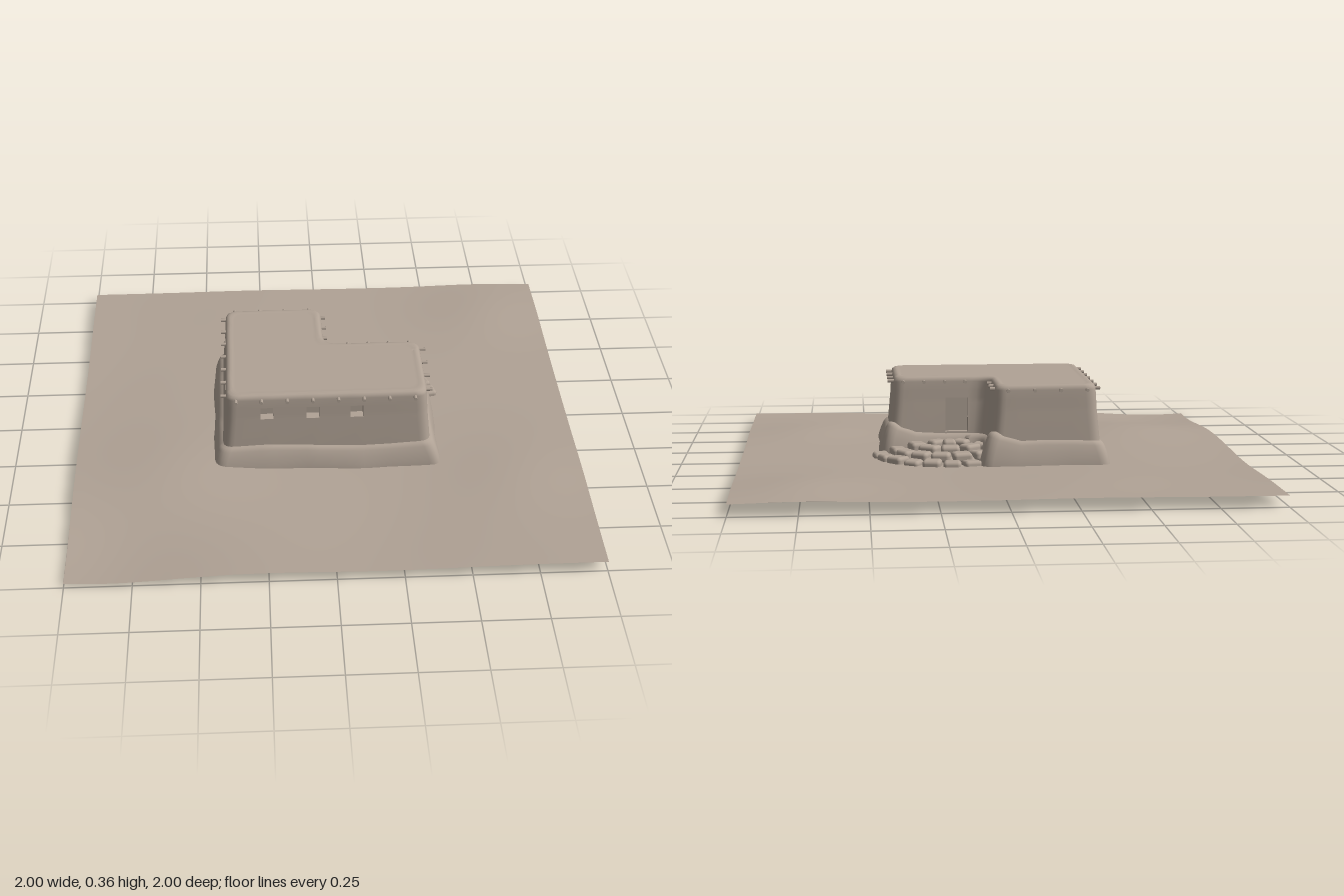
import * as THREE from 'three';
import { RoundedBoxGeometry } from 'three/addons/geometries/RoundedBoxGeometry.js';

// Openings in the walls: centre, size and the way they face
const openings = [
  ...[-0.24, -0.06, 0.1125].map(x => ({ name: 'frontWindow', x, y: 0.275, z: 0.322, w: 0.05, h: 0.05, turn: 0 })),
  ...[-0.2, 0.14].map(z => ({ name: 'sideWindow', x: -0.402, y: 0.275, z, w: 0.05, h: 0.05, turn: -Math.PI / 2 })),
  { name: 'doorway', x: 0.135, y: 0.2, z: -0.066, w: 0.09, h: 0.14, turn: Math.PI },
];

// L-shaped plan, counter-clockwise from above; each corner: x, z, outward signs, rounding
const corners = [
  [-0.415, 0.335, -1, 1, 0.045], [0.405, 0.335, 1, 1, 0.045], [0.405, -0.075, 1, -1, 0.045],
  [0.015, -0.075, 1, -1, 0.075], [0.015, -0.345, 1, -1, 0.045], [-0.415, -0.345, -1, -1, 0.045],
];
// Points along the straight wall that follows each corner
const stops = [
  [-0.265, -0.215, -0.085, -0.035, 0.0875, 0.1375, 0.24], [0.2, 0.1, 0],
  [0.3, 0.18, 0.09], [-0.2, -0.25], [-0.1, -0.2, -0.3], [-0.225, -0.175, 0, 0.115, 0.165],
];

function outline(offset) {
  const c = corners.map(([x, z, sx, sz]) => new THREE.Vector2(x + sx * offset, z + sz * offset));
  const points = [];
  c.forEach((p, i) => {
    const prev = c[(i + 5) % 6], next = c[(i + 1) % 6], r = corners[i][4];
    const a = p.clone().add(prev.clone().sub(p).setLength(r));
    const b = p.clone().add(next.clone().sub(p).setLength(r));
    points.push(...new THREE.QuadraticBezierCurve(a, p, b).getPoints(6));
    const alongX = Math.abs(next.x - p.x) > Math.abs(next.y - p.y);
    for (const s of stops[i]) points.push(alongX ? new THREE.Vector2(s, p.y) : new THREE.Vector2(p.x, s));
  });
  return points;
}

// Skin a stack of [height, offset] outlines, leaving the openings free
function loft(levels, { bend = (x, y, z) => [x, y, z], cap = false, holes = [] }) {
  const rings = levels.map(([y, o]) => outline(o).map(p => [p.x, y, p.y]));
  const n = rings[0].length, index = [];
  for (let j = 0; j < rings.length - 1; j++) {
    for (let i = 0; i < n; i++) {
      const k = (i + 1) % n;
      const mid = [0, 1, 2].map(a => (rings[j][i][a] + rings[j][k][a] + rings[j + 1][i][a] + rings[j + 1][k][a]) / 4);
      const open = holes.some(h => Math.abs(mid[1] - h.y) < h.h / 2
        && Math.hypot(mid[0] - h.x, mid[2] - h.z) < h.w / 2);
      if (open) continue;
      const a = j * n + i, b = j * n + k;
      index.push(a, b, b + n, a, b + n, a + n);
    }
  }
  if (cap) {
    const top = rings.length - 1;
    const flat = rings[top].map(p => new THREE.Vector2(p[0], -p[2]));
    for (const f of THREE.ShapeUtils.triangulateShape(flat, [])) index.push(...f.map(i => top * n + i));
  }
  const geo = new THREE.BufferGeometry();
  geo.setAttribute('position', new THREE.Float32BufferAttribute(rings.flat().flatMap(p => bend(...p)), 3));
  geo.setIndex(index);
  geo.computeVertexNormals();
  return geo;
}

// Box seen from inside, open at its front
function recess(w, h, d) {
  const geo = new THREE.BoxGeometry(w, h, d).translate(0, 0, -d / 2);
  const index = Array.from(geo.index.array);
  index.splice(24, 6);
  geo.setIndex(index.reverse());
  geo.computeVertexNormals();
  return geo;
}

const hump = (x, z, cx, cz, r) => Math.exp(-((x - cx) ** 2 + (z - cz) ** 2) / (r * r));

function groundHeight(x, z) {
  return 0.043 + 0.026 * hump(x, z, -0.6, 0.35, 0.3) - 0.032 * hump(x, z, -0.85, 0.9, 0.35)
    + 0.022 * hump(x, z, 0.75, -0.75, 0.25) + 0.018 * hump(x, z, 0.75, 0.45, 0.25)
    - 0.016 * hump(x, z, 0.2, 0.75, 0.35) - 0.012 * hump(x, z, -0.95, -0.3, 0.3)
    + 0.01 * hump(x, z, -0.3, -0.7, 0.3);
}

export function createModel() {
  const model = new THREE.Group();
  const clay = new THREE.MeshStandardMaterial({ color: 0xb0a295 });
  const earth = new THREE.MeshStandardMaterial({ color: 0xb0a295, side: THREE.DoubleSide });
  clay.name = 'clay';
  earth.name = 'earth';
  const add = (name, geo, mat = clay, parent = model) => {
    const mesh = new THREE.Mesh(geo, mat);
    mesh.name = name;
    parent.add(mesh);
    return mesh;
  };
  const group = name => {
    const g = new THREE.Group();
    g.name = name;
    model.add(g);
    return g;
  };

  // Gently rolling ground
  const ground = new THREE.PlaneGeometry(2, 2, 48, 48).rotateX(-Math.PI / 2);
  const pos = ground.attributes.position;
  for (let i = 0; i < pos.count; i++) pos.setY(i, groundHeight(pos.getX(i), pos.getZ(i)));
  ground.computeVertexNormals();
  add('ground', ground, earth);

  // House walls with a soft-edged flat roof
  add('house', loft([
    [0.05, 0.004], [0.13, 0], [0.25, -0.011], [0.27, -0.012], [0.3, -0.014], [0.335, -0.016],
    [0.346, -0.019], [0.353, -0.026], [0.356, -0.036], [0.354, -0.045], [0.354, -0.055],
  ], { cap: true, holes: openings }));

  // Uneven plaster skirt around the foot of the walls
  const bend = (x, y, z) => {
    const t = y / 0.13;
    const rise = 0.007 * Math.sin(x * 9 + 3.6) + 0.005 * Math.sin(z * 13 + 1)
      + 0.05 * hump(x, z, 0.02, -0.34, 0.06) + 0.045 * hump(x, z, 0.41, -0.08, 0.05);
    const low = 1 - Math.min(t, 1);
    return [x + 0.007 * low * Math.sin(z * 17 + 1), y + t * rise, z + 0.006 * low * Math.sin(x * 15)];
  };
  add('plasterSkirt', loft([
    [0, 0.044], [0.03, 0.042], [0.06, 0.037], [0.09, 0.028], [0.115, 0.018], [0.128, 0.009], [0.134, -0.006],
  ], { bend }), earth);

  // Sunken windows and doorway
  const recesses = group('openings');
  for (const o of openings) {
    const mesh = add(o.name, recess(o.w, o.h, 0.035), clay, recesses);
    mesh.position.set(o.x, o.y, o.z);
    mesh.rotation.y = o.turn;
  }

  // Roof beam ends poking out of every wall
  const beams = group('roofBeams');
  const beamGeo = new THREE.CylinderGeometry(0.007, 0.007, 0.07, 8).rotateX(Math.PI / 2);
  const beamRow = (x0, z0, x1, z1, count, turn) => {
    for (let i = 0; i < count; i++) {
      const t = i / (count - 1);
      const beam = add('beamEnd', beamGeo, clay, beams);
      beam.position.set(x0 + (x1 - x0) * t, 0.335, z0 + (z1 - z0) * t);
      beam.rotation.y = turn;
    }
  };
  beamRow(-0.36, 0.303, 0.34, 0.303, 8, 0);
  beamRow(-0.36, -0.313, -0.05, -0.313, 4, 0);
  beamRow(0.1, -0.043, 0.35, -0.043, 4, 0);
  beamRow(-0.383, -0.28, -0.383, 0.28, 7, Math.PI / 2);
  beamRow(0.377, -0.02, 0.377, 0.27, 4, Math.PI / 2);
  beamRow(-0.018, -0.28, -0.018, -0.12, 3, Math.PI / 2);

  // Stone terrace stepping up to the doorway
  const terrace = group('terrace');
  const mound = add('terraceMound', new THREE.CylinderGeometry(0.2, 0.3, 0.055, 32), clay, terrace);
  mound.position.set(0.17, 0.047, -0.1);
  mound.scale.z = 0.87;
  let seed = 7;
  const jitter = () => ((seed = (seed * 16807) % 2147483647) / 2147483647) - 0.5;
  const rings = [[0.055, 3, 0.105], [0.13, 5, 0.093], [0.2, 8, 0.078], [0.265, 11, 0.06]];
  for (const [radius, count, top] of rings) {
    for (let i = 0; i < count; i++) {
      const angle = Math.PI * (i + 0.5) / count;
      const x = 0.17 + Math.cos(angle) * radius * 1.04, z = -0.1 - Math.sin(angle) * radius * 0.92;
      if (x < 0.04) continue;
      const wide = Math.PI * radius / count * (0.93 + 0.12 * jitter());
      const stone = add('pavingStone', new RoundedBoxGeometry(0.064 + 0.008 * jitter(), 0.04, wide, 3, 0.014), clay, terrace);
      stone.position.set(x, top - 0.014 + 0.008 * jitter(), z);
      stone.rotation.set(0.08 * jitter(), angle + 0.15 * jitter(), 0.08 * jitter());
    }
  }
  return model;
}
